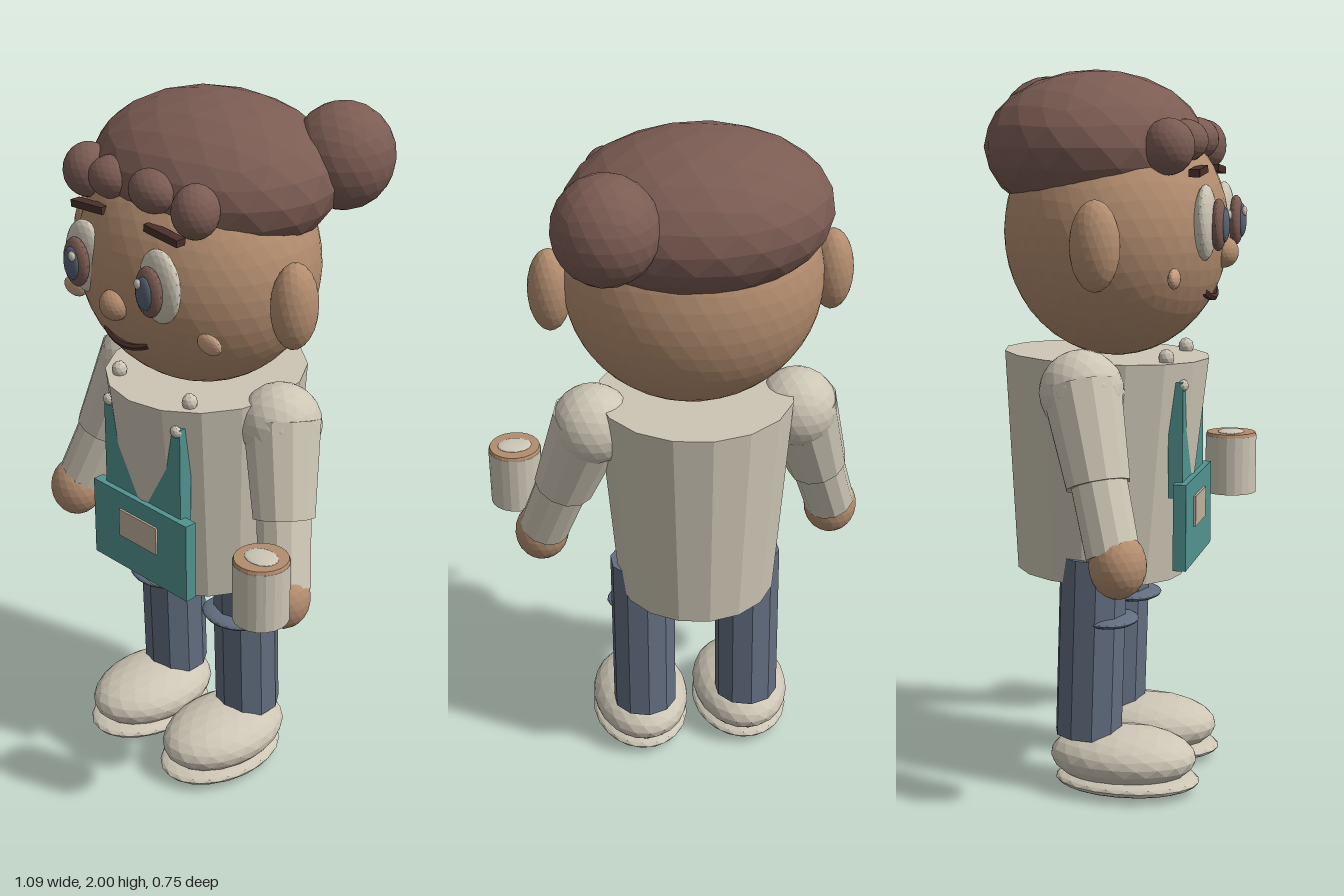
import * as THREE from 'three';

const mat = (name, color) => {
  const m = new THREE.MeshStandardMaterial({ color });
  m.name = name;
  return m;
};

export function createModel() {
  const skin = mat('skin', 0xb38d6f);
  const blush = mat('blush', 0xc49d80);
  const hair = mat('hair brown', 0x7b5c53);
  const dark = mat('dark brown', 0x4a302b);
  const cream = mat('cream', 0xcdc6b5);
  const denim = mat('denim', 0x626e80);
  const pupilBlue = mat('pupil blue', 0x566273);
  const teal = mat('teal', 0x519390);
  const patchTan = mat('patch tan', 0xbfb09b);

  const model = new THREE.Group();
  model.name = 'barista';
  const CX = -0.03; // the figure's own mirror plane; the cup shifts the overall centre

  // Faceted mesh helper: one normal per face
  function add(name, geometry, material, pos, parent = model) {
    const g = geometry.index ? geometry.toNonIndexed() : geometry;
    g.computeVertexNormals();
    const mesh = new THREE.Mesh(g, material);
    mesh.name = name;
    mesh.position.set(...pos);
    parent.add(mesh);
    return mesh;
  }

  // Faceted ellipsoid with a vertex at each pole
  function blob(name, material, pos, radii, detail = 3) {
    const g = new THREE.IcosahedronGeometry(1, detail);
    g.rotateZ(Math.atan2(2, 1 + Math.sqrt(5)));
    g.scale(...radii);
    return add(name, g, material, pos);
  }

  const box = (name, material, pos, size) => add(name, new THREE.BoxGeometry(...size), material, pos);

  // Tapered limb from point a to point b
  function limb(name, material, a, b, ra, rb, sides) {
    const A = new THREE.Vector3(...a), B = new THREE.Vector3(...b);
    const dir = A.clone().sub(B);
    const mid = A.clone().add(B).multiplyScalar(0.5);
    const mesh = add(name, new THREE.CylinderGeometry(ra, rb, dir.length(), sides), material, mid.toArray());
    mesh.quaternion.setFromUnitVectors(new THREE.Vector3(0, 1, 0), dir.normalize());
    return mesh;
  }

  // Head and hair
  blob('head', skin, [CX, 1.56, 0.03], [0.355, 0.345, 0.31], 7);
  blob('hairCap', hair, [CX, 1.79, -0.03], [0.363, 0.21, 0.305]);
  blob('hairBun', hair, [0.24, 1.845, -0.24], [0.14, 0.145, 0.14]);
  const curls = [
    [-0.255, 1.793, 0.22, 0.068, 0.075, 0.07],
    [-0.13, 1.808, 0.238, 0.075, 0.058, 0.065],
    [0.03, 1.812, 0.238, 0.078, 0.06, 0.065],
    [0.177, 1.793, 0.235, 0.062, 0.073, 0.065],
  ];
  for (const [x, y, z, ...r] of curls) blob('fringeCurl', hair, [x, y, z], r);

  // Face centre
  blob('nose', skin, [CX, 1.505, 0.332], [0.045, 0.043, 0.04]);
  const smile = new THREE.QuadraticBezierCurve3(
    new THREE.Vector3(-0.085, 0.012, -0.012),
    new THREE.Vector3(0, -0.03, 0.014),
    new THREE.Vector3(0.085, 0.012, -0.012));
  add('mouth', new THREE.TubeGeometry(smile, 12, 0.01, 6), dark, [CX, 1.39, 0.302]);

  // Torso: flared top with a slight forward lean
  const torsoGeo = new THREE.CylinderGeometry(0.29, 0.237, 0.62, 16);
  torsoGeo.scale(0.957, 1, 1);
  add('torso', torsoGeo, cream, [CX, 0.91, -0.008]).rotation.x = 0.033;

  // Apron
  box('apronBib', teal, [CX, 1.0, 0.229], [0.31, 0.32, 0.04]);
  box('apronPocket', teal, [CX + 0.002, 0.765, 0.248], [0.386, 0.24, 0.036]);
  box('pocketPatch', patchTan, [CX, 0.79, 0.268], [0.155, 0.085, 0.009]);

  // Mirrored parts: s = -1 is the right side, s = 1 the left
  for (const s of [-1, 1]) {
    const side = s < 0 ? 'right' : 'left';
    const x = d => CX + s * d;

    // Ears, eyes, brows and cheeks
    blob(side + 'Ear', skin, [x(0.39), 1.54, 0.06], [0.06, 0.12, 0.067]);
    blob(side + 'EyeWhite', cream, [x(0.146), 1.592, 0.305], [0.075, 0.102, 0.03]);
    blob(side + 'Iris', hair, [x(0.143), 1.586, 0.34], [0.047, 0.07, 0.023]);
    blob(side + 'Pupil', pupilBlue, [x(0.143), 1.586, 0.356], [0.03, 0.047, 0.014]);
    blob(side + 'EyeGlint', cream, [x(0.13), 1.612, 0.366], [0.012, 0.014, 0.008], 2);
    box(side + 'Brow', dark, [x(0.144), 1.728, 0.285], [0.125, 0.02, 0.03]).rotation.z = -s * 0.08;
    blob(side + 'Cheek', blush, [x(0.268), 1.45, 0.245], [0.044, 0.028, 0.016], 2);

    // Collar ends and apron buttons
    blob(side + 'CollarEnd', cream, [x(0.143), 1.225, 0.2], [0.022, 0.025, 0.022], 1);
    blob(side + 'ApronButton', cream, [x(0.138), 1.15, 0.247], [0.019, 0.017, 0.014], 1);

    // Arms
    blob(side + 'Shoulder', cream, [x(0.29), 1.145, 0], [0.115, 0.115, 0.115]);
    limb(side + 'UpperArm', cream, [x(0.295), 1.16, 0], [x(0.372), 0.91, 0.065], 0.11, 0.088, 12);
    limb(side + 'Forearm', cream, [x(0.365), 0.94, 0.06], [x(0.43), 0.735, 0.118], 0.078, 0.074, 12);
    blob(side + 'Hand', skin, [x(0.436), 0.712, 0.132], [0.079, 0.09, 0.077]);

    // Legs and shoes
    limb(side + 'Leg', denim, [x(0.157), 0.67, 0.0], [x(0.157), 0.16, -0.015], 0.095, 0.095, 10);
    blob(side + 'KneeFold', denim, [x(0.157), 0.492, 0.05], [0.1, 0.018, 0.076]);
    blob(side + 'Shoe', cream, [x(0.157), 0.1, 0.085], [0.145, 0.083, 0.208]);
    blob(side + 'Sole', cream, [x(0.157), 0.035, 0.097], [0.145, 0.033, 0.205]);
  }

  // Cup with drink and foam
  const cup = new THREE.Group();
  cup.name = 'cup';
  cup.position.set(0.465, 0.74, 0.275);
  model.add(cup);
  add('cupBody', new THREE.CylinderGeometry(0.078, 0.077, 0.175, 20), cream, [0, 0.0875, 0], cup);
  add('drink', new THREE.CylinderGeometry(0.074, 0.078, 0.012, 20), skin, [0, 0.179, 0], cup);
  const foam = new THREE.IcosahedronGeometry(1, 3);
  foam.scale(0.05, 0.008, 0.04);
  add('foam', foam, cream, [0, 0.185, 0], cup);

  return model;
}
